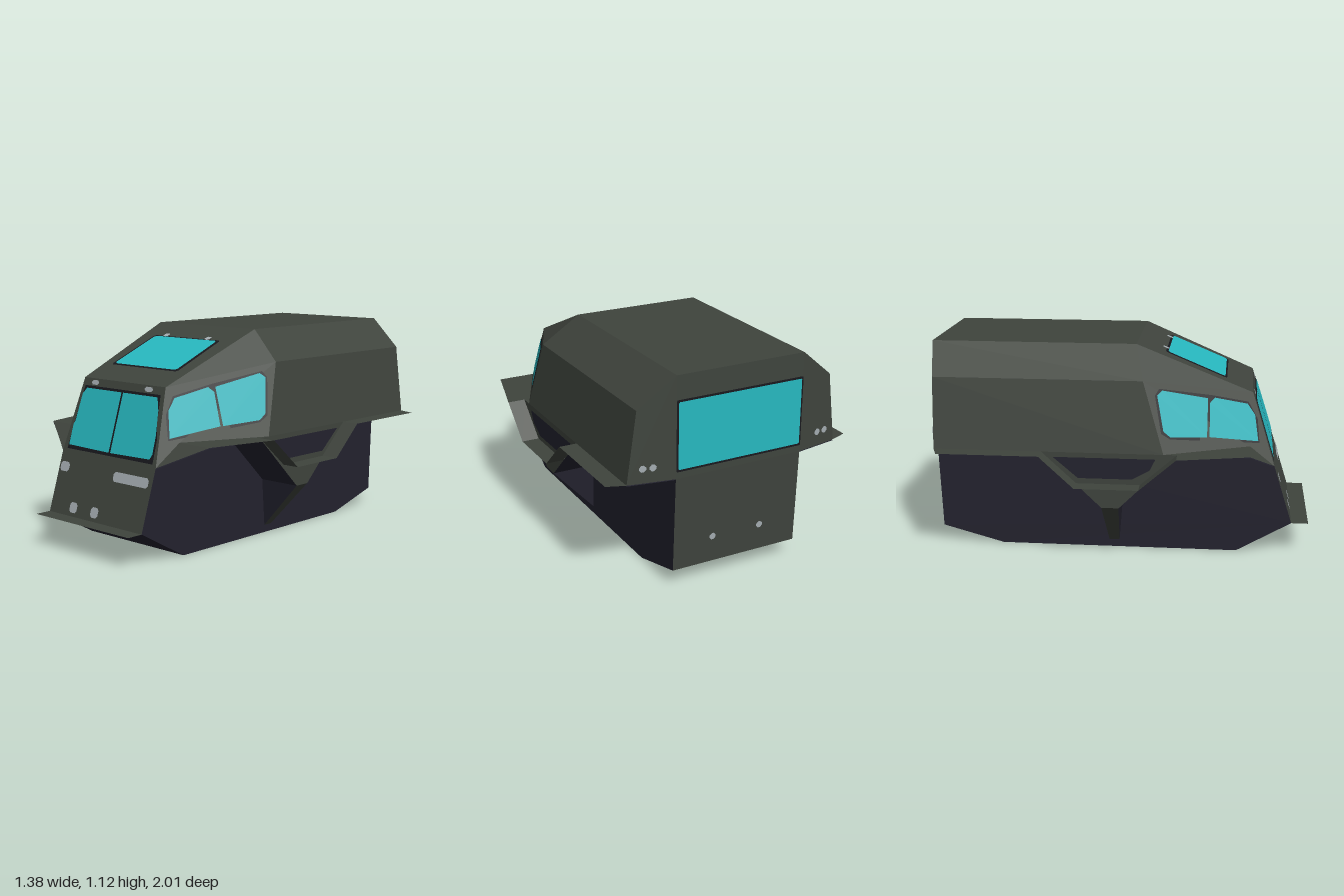
import * as THREE from 'three';

const mat = (name, color) => {
  const m = new THREE.MeshStandardMaterial({ color, side: THREE.DoubleSide });
  m.name = name;
  return m;
};

export function createModel() {
  const olive = mat('olive paint', 0x3f443d);
  const navy = mat('dark underbody', 0x23222e);
  const teal = mat('teal glass', 0x27b8c0);
  const black = mat('window seal', 0x18181d);
  const grey = mat('grey fittings', 0xa5adb2);
  const group = new THREE.Group();
  const center = new THREE.Vector3(0, 0.55, 0);
  const flip = (poly) => poly.map(([x, y, z]) => [-x, y, z]);

  // Flat convex polygons, fanned into triangles that face outward
  function faces(name, material, polys, mirror = false) {
    const pos = [];
    for (const poly of mirror ? [...polys, ...polys.map(flip)] : polys) {
      const v = poly.map((p) => new THREE.Vector3(...p));
      for (let i = 1; i < v.length - 1; i++) {
        const tri = new THREE.Triangle(v[0], v[i], v[i + 1]);
        const n = tri.getNormal(new THREE.Vector3());
        const out = tri.getMidpoint(new THREE.Vector3()).sub(center);
        const order = n.dot(out) < 0 ? [v[0], v[i + 1], v[i]] : [v[0], v[i], v[i + 1]];
        for (const p of order) pos.push(p.x, p.y, p.z);
      }
    }
    const g = new THREE.BufferGeometry();
    g.setAttribute('position', new THREE.Float32BufferAttribute(pos, 3));
    g.computeVertexNormals();
    const mesh = new THREE.Mesh(g, material);
    mesh.name = name;
    group.add(mesh);
  }

  // Surfaces that carry painted details: 2D point + lift -> 3D point
  const onFront = (x, y, d) => [x, y + 0.3 * d, 0.91 - (y - 0.165) * 0.3143 + 0.954 * d];
  const onRoof = (x, z, d) => [x, 1.12 - (z - 0.08) * 0.418 + 0.92 * d, z + 0.386 * d];
  const onSide = (z, y, d) =>
    [0.545 - (0.054 * (y - 0.965) + 0.094 * (z - 0.13)) / 0.196 + 0.87 * d, y + 0.24 * d, z + 0.42 * d];
  const onRear = (x, y, d) => [x, y, -1 + Math.max(0, 0.595 - y) * 0.04 - d];
  const onWing = (x, y, d) => [x, y, -1 + (x - 0.355) * 0.1875 - d];
  const map = (fn, pts, d) => pts.map(([a, b]) => fn(a, b, d));
  // Rectangle with cut corners
  const patch = (x0, x1, y0, y1, c = 0.012) => [
    [x0 + c, y0], [x1 - c, y0], [x1, y0 + c], [x1, y1 - c],
    [x1 - c, y1], [x0 + c, y1], [x0, y1 - c], [x0, y0 + c]];

  // Cab corner points on the +x side
  const W = 0.355, S = 0.595, A = 0.595;
  const roofBack = [W, 1.12, -1], roofFront = [W, 1.12, 0.08];
  const shoulderBack = [0.545, 0.965, -0.96], shoulderFront = [0.545, 0.965, 0.13];
  const sillBack = [S, A, -0.955], sillFront = [S, A, 0.24];
  const browCorner = [0.305, 0.865, 0.69], noseSide = [0.39, A, 0.68], noseLow = [W, 0.48, 0.811];
  const bumper = [W, 0.165, 0.91];
  const across = (a, b) => [a, b, ...flip([b, a])];

  faces('roof', olive, [across(roofBack, roofFront), across(roofFront, browCorner)]);
  faces('roofShoulder', olive, [
    [roofBack, roofFront, shoulderFront, shoulderBack],
    [roofFront, browCorner, shoulderFront]], true);
  faces('cabSide', olive, [
    [shoulderBack, shoulderFront, sillFront, sillBack],
    [shoulderFront, browCorner, noseLow, noseSide, sillFront]], true);
  faces('nosePanel', olive, [across(browCorner, noseLow), across(noseLow, bumper)]);
  faces('bumperLip', olive, [across(bumper, [W, 0.165, 1])]);
  faces('rearPanel', olive, [
    across(roofBack, [W, A, -1]), across([W, A, -1], [W, 0.09, -0.98])]);
  faces('rearCorner', olive, [[roofBack, shoulderBack, sillBack, [W, A, -1]]], true);

  // Lower hull
  const keel = [[0.165, 0.91], [0, 0.62], [0, -0.65], [0.09, -0.98]].map(([y, z]) => [W, y, z]);
  faces('hullBottom', navy, [0, 1, 2].map((i) => across(keel[i], keel[i + 1])));
  faces('hullSide', navy, [[...keel, [W, A, -1], [W, A, 0.68], [W, 0.48, 0.811]]], true);

  // Fender flange: a thin ledge that dips between the wheel arches
  const X = 0.69;
  const ledge = [[0.31, A], [0.12, 0.43], [-0.21, 0.43], [-0.39, A]];
  faces('fenderFlange', olive, [
    [noseSide, [S, A, 0.68], noseLow],
    [[S, A, 0.68], [X, A, 0.31], [S, A, 0.31], sillFront, noseSide],
    ...[0, 1, 2].map((i) => {
      const [z0, y0] = ledge[i], [z1, y1] = ledge[i + 1];
      return [[S, y0, z0], [X, y0, z0], [X, y1, z1], [S, y1, z1]];
    }),
    [[S, A, -0.39], [X, A, -0.39], [X, A, -0.92], sillBack]], true);

  // Wheel arch linings, just under the fenders
  const L = 0.59;
  const lining = (z0, y0, z1, y1, x1 = S) => [[W, y0, z0], [S, y0, z0], [x1, y1, z1], [W, y1, z1]];
  faces('wheelArchLining', navy, [
    [[W, L, 0.68], [S, L, 0.68], [W, 0.475, 0.805]],
    lining(0.68, L, 0.31, L), lining(0.305, L, 0.01, 0.3),
    lining(-0.08, 0.3, -0.385, L),
    [[W, L, -0.385], [S, L, -0.385], [S, L, -0.955], [W, L, -0.998]],
    [[W, 0.3, 0.01], [S, 0.3, 0.01], [W, 0.04, -0.01]],
    [[W, 0.3, -0.08], [S, 0.3, -0.08], [W, 0.04, -0.065]]], true);

  // Pillar between the wheels
  faces('archPillar', olive, [
    [[S, A, 0.31], [S, 0.3, 0.01], [S, 0.3, -0.08], [S, A, -0.39]],
    [[S, 0.3, 0.01], [S, 0.3, -0.08], [W, 0.04, -0.065], [W, 0.04, -0.01]]], true);
  faces('pillarRecess', navy, [
    [[0.2, 0.57], [-0.33, 0.57], [-0.3, 0.545], [-0.2, 0.46], [0.08, 0.46], [0.17, 0.51]]
      .map(([z, y]) => [S + 0.005, y, z])], true);

  // Windscreen
  faces('windscreenSeal', black, [map(onFront,
    [[-0.32, 0.495], [0.33, 0.495], [0.325, 0.62], [0.3, 0.7], [0.285, 0.825], [-0.285, 0.825], [-0.31, 0.62]], 0.003)]);
  faces('windscreen', teal, [
    map(onFront, [[-0.31, 0.515], [0.004, 0.51], [0.004, 0.812], [-0.265, 0.812], [-0.29, 0.78], [-0.295, 0.65], [-0.31, 0.62]], 0.006),
    map(onFront, [[0.016, 0.51], [0.305, 0.515], [0.318, 0.54], [0.315, 0.63], [0.295, 0.75], [0.27, 0.812], [0.016, 0.812]], 0.006)]);

  // Roof hatch
  faces('roofHatchSeal', black, [map(onRoof, patch(-0.25, 0.245, 0.225, 0.55), 0.003)]);
  faces('roofHatchGlass', teal, [map(onRoof, patch(-0.235, 0.23, 0.236, 0.54), 0.006)]);
  faces('hatchHinge', grey, [-0.16, 0.152].map((x) =>
    map(onRoof, patch(x - 0.018, x + 0.018, 0.205, 0.237, 0.008), 0.008)));

  // Side windows
  faces('sideWindowSeal', black, [map(onSide,
    [[0.728, 0.605], [0.715, 0.73], [0.665, 0.82], [0.47, 0.87], [0.21, 0.922], [0.19, 0.89], [0.225, 0.7], [0.27, 0.668]], 0.003)], true);
  faces('sideWindow', teal, [
    map(onSide, [[0.72, 0.615], [0.7, 0.75], [0.66, 0.81], [0.49, 0.855], [0.465, 0.83], [0.468, 0.66]], 0.006),
    map(onSide, [[0.455, 0.66], [0.455, 0.855], [0.225, 0.912], [0.2, 0.89], [0.235, 0.71], [0.27, 0.678]], 0.006)], true);

  // Rear window
  faces('rearWindowSeal', black, [map(onRear, patch(-W, W, 0.63, 0.997, 0.005), 0.003)]);
  faces('rearWindow', teal, [map(onRear, patch(-0.345, 0.345, 0.642, 0.987, 0.005), 0.006)]);

  // Lamps, vents and fittings
  faces('noseFitting', grey, [
    [-0.34, -0.27, 0.378, 0.427], [0.075, 0.332, 0.378, 0.427],
    [-0.2, -0.143, 0.184, 0.236], [-0.036, 0.021, 0.184, 0.236],
    [-0.24, -0.18, 0.832, 0.856], [0.165, 0.228, 0.832, 0.856],
  ].map((r) => map(onFront, patch(...r), 0.005)));
  faces('rearFitting', grey, [-0.137, 0.137].map((x) =>
    map(onRear, patch(x - 0.018, x + 0.018, 0.215, 0.25), 0.005)));
  faces('rearMarker', grey, [0.47, 0.52].map((x) =>
    map(onWing, patch(x - 0.018, x + 0.018, 0.655, 0.69), 0.006)), true);

  return group;
}
